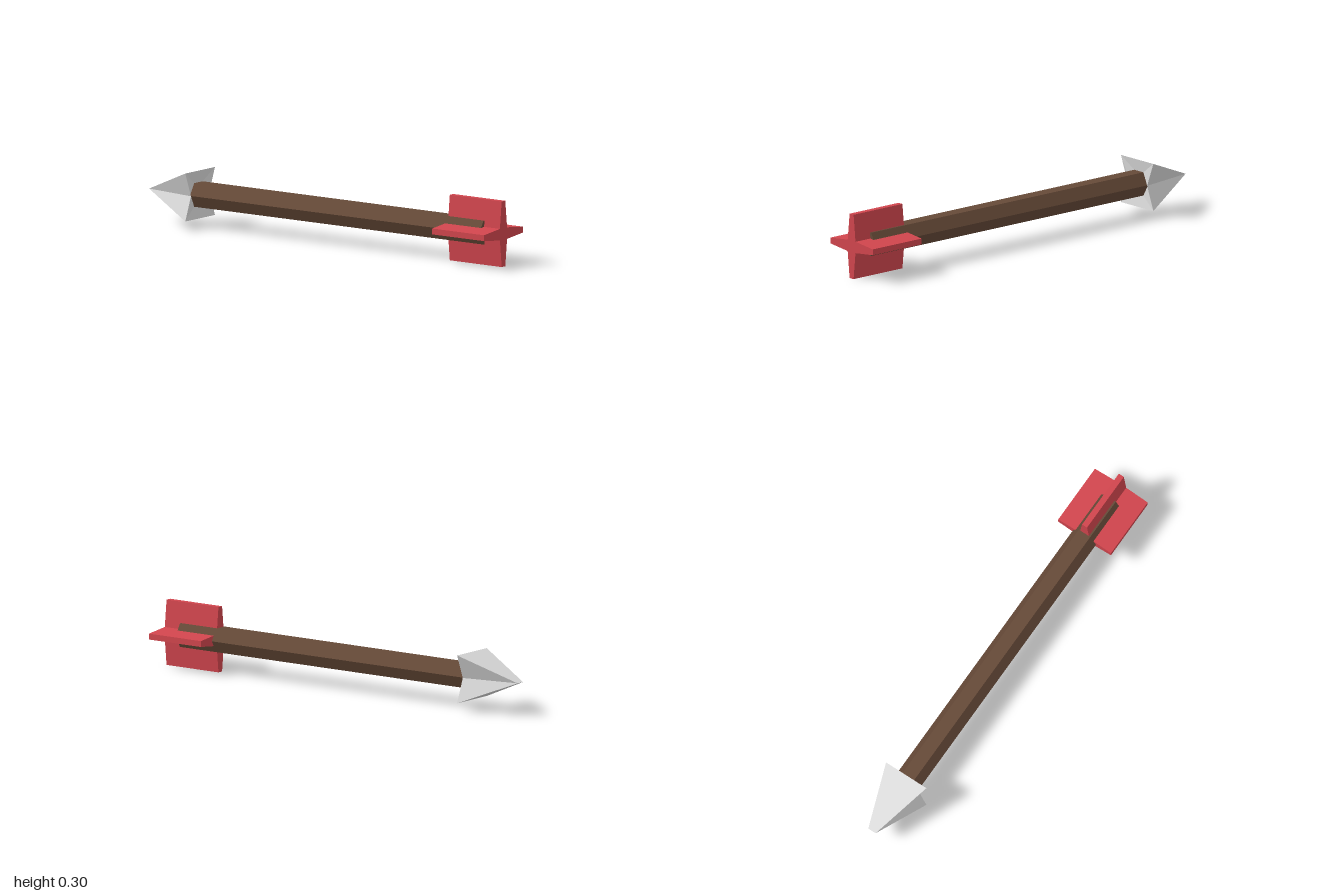
import * as THREE from 'three';

const AXIS_Y = 0.15; // height of the arrow's centre line

export function createModel() {
  const wood = new THREE.MeshStandardMaterial({ color: 0x664a38, flatShading: true });
  wood.name = 'brown wood';
  const red = new THREE.MeshStandardMaterial({ color: 0xd0454d, flatShading: true });
  red.name = 'red fletching';
  const steel = new THREE.MeshStandardMaterial({ color: 0xdadada, flatShading: true });
  steel.name = 'pale steel';

  const arrow = new THREE.Group();
  arrow.name = 'arrow';
  const add = (name, geometry, material) => {
    const mesh = new THREE.Mesh(geometry, material);
    mesh.name = name;
    mesh.position.y = AXIS_Y;
    arrow.add(mesh);
  };

  // Hexagonal shaft with corners to the sides and flats above and below
  const radius = 0.0625, shaftBack = 0.91, shaftFront = -0.735;
  const shaft = new THREE.CylinderGeometry(radius, radius, shaftBack - shaftFront, 6);
  shaft.rotateY(Math.PI / 6).rotateX(Math.PI / 2).translate(0, 0, (shaftBack + shaftFront) / 2);
  add('shaft', shaft, wood);

  // Four tapered fins in one cross-shaped extrusion
  const cross = new THREE.Shape();
  const arm = [[0.144, -0.0135], [0.144, 0.0135], [0.027, 0.025]];
  for (let i = 0; i < 4; i++) {
    const c = Math.round(Math.cos(i * Math.PI / 2)), s = Math.round(Math.sin(i * Math.PI / 2));
    const reach = i % 2 ? 0.15 : 0.144; // upright fins are slightly longer
    arm.forEach(([x, y], k) => {
      const u = k < 2 ? reach : 0.0265, v = k < 2 ? y : 0.0265;
      const px = u * c - v * s, py = u * s + v * c;
      if (i === 0 && k === 0) cross.moveTo(px, py);
      else cross.lineTo(px, py);
    });
  }
  cross.closePath();
  const fins = new THREE.ExtrudeGeometry(cross, { depth: 0.295, bevelEnabled: false });
  fins.translate(0, 0, 0.705);
  add('fletching', fins, red);

  add('arrowhead', headGeometry(radius), steel);
  return arrow;
}

// Arrowhead: notched square rim, short chisel tip and a slightly hollow back
function headGeometry(radius) {
  const rimZ = -0.725, w = 0.11, notch = 0.068;
  const rim = [[notch, 0], [w, w], [-w, w], [-notch, 0], [-w, -w], [w, -w]]
    .map(([x, y]) => [x, y, rimZ]);
  const socket = rim.map((_, i) => {
    const a = i * Math.PI / 3;
    return [radius * Math.cos(a), radius * Math.sin(a), rimZ - 0.01];
  });
  const tip = rim.map(([x]) => [Math.sign(x) * 0.02, 0, -1]);
  const points = [];
  const tri = (a, b, c) => points.push(...a, ...b, ...c);
  for (let i = 0; i < 6; i++) {
    const j = (i + 1) % 6;
    // blade face
    tri(rim[i], tip[j], rim[j]);
    if (tip[i][0] !== tip[j][0]) tri(rim[i], tip[i], tip[j]);
    // hollow back around the shaft
    tri(rim[i], rim[j], socket[j]);
    tri(rim[i], socket[j], socket[i]);
  }
  const geometry = new THREE.BufferGeometry();
  geometry.setAttribute('position', new THREE.Float32BufferAttribute(points, 3));
  geometry.computeVertexNormals();
  return geometry;
}
